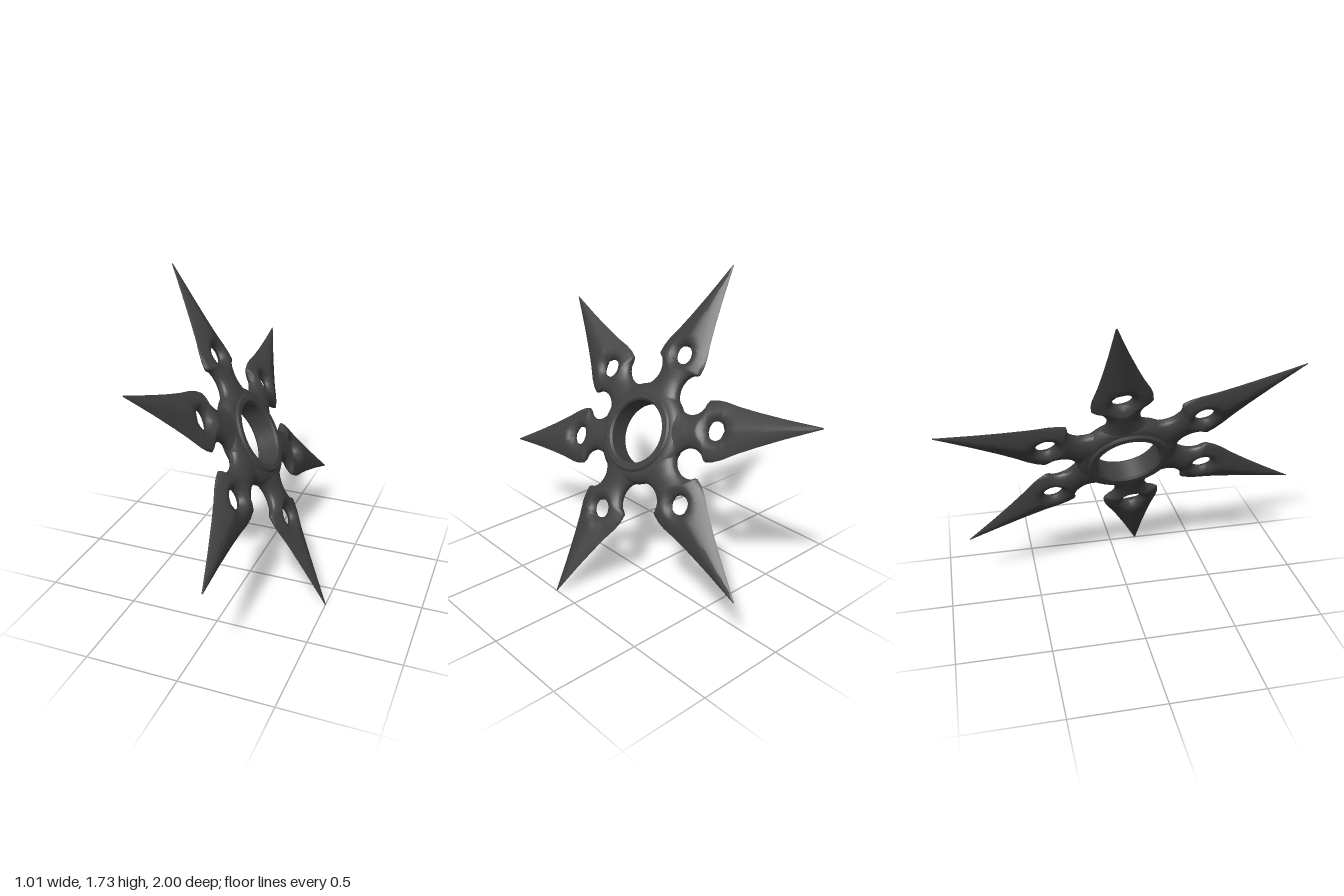
import * as THREE from 'three';
import { mergeVertices, toCreasedNormals } from 'three/addons/utils/BufferGeometryUtils.js';

const HOLE_S = 0.475, HOLE_R = 0.05, TIP = 1.05;
const { lerp, smoothstep, clamp } = THREE.MathUtils;

// piecewise linear lookup in [[s, value], ...]
function sample(table, s) {
  for (let i = 1; i < table.length; i++) {
    const [a, va] = table[i - 1], [b, vb] = table[i];
    if (s <= b) return lerp(va, vb, clamp((s - a) / (b - a), 0, 1));
  }
  return table[table.length - 1][1];
}

const bladeWidth = [[0.41, 0.145], [0.425, 0.16], [0.47, 0.16], [0.52, 0.149], [0.6, 0.12],
  [0.7, 0.09], [0.85, 0.05], [TIP, 0.003]];
const ridgeHeight = [[0.2, 0.052], [0.33, 0.045], [0.47, 0.045], [0.6, 0.042], [0.85, 0.022], [TIP, 0.003]];

// half width of an arm: round notches beside the neck, then the blade
function halfWidth(s) {
  if (s < 0.41) return 0.1875 - Math.sqrt(Math.max(0, 0.01 - (s - 0.325) ** 2));
  return sample(bladeWidth, s);
}

// half thickness: oval neck, flatter blade, dished around the hole
function halfThickness(s, t, k) {
  const blade = smoothstep(s, 0.34, 0.6);
  const section = Math.pow(Math.max(0, 1 - Math.pow(k, lerp(2, 1.4, blade))), lerp(0.5, 0.9, blade));
  const gap = Math.max(0, Math.hypot(s - HOLE_S, t) - HOLE_R);
  return sample(ridgeHeight, s) * section * Math.min(1, Math.sqrt(gap / 0.045));
}

// stations along the arm, dense around the hole
function stations() {
  const list = [];
  for (let i = 0; i < 20; i++) list.push(lerp(0.23, HOLE_S - HOLE_R, i / 20));
  for (let i = 0; i <= 16; i++) list.push(HOLE_S - HOLE_R * Math.cos(Math.PI * i / 16));
  for (let i = 1; i <= 20; i++) list.push(lerp(HOLE_S + HOLE_R, TIP, i / 20));
  return list;
}

// one arm along +x, stretched to the given length and bent out of plane at the tip
function armGeometry(length, bend) {
  const pos = [], index = [], ss = stations(), N = 12;
  for (const side of [1, -1]) for (const face of [1, -1]) {
    const base = pos.length / 3;
    ss.forEach((s, i) => {
      const w = halfWidth(s);
      const inner = Math.sqrt(Math.max(0, HOLE_R ** 2 - (s - HOLE_S) ** 2));
      const x = s <= 0.5 ? s : 0.5 + (s - 0.5) * (length - 0.5) / (TIP - 0.5);
      const lift = bend * Math.max(0, s - 0.3) / (TIP - 0.3);
      for (let j = 0; j <= N; j++) {
        const t = lerp(inner, w, Math.sin(j / N * Math.PI / 2));
        const h = j === N ? 0 : halfThickness(s, t, t / w);
        pos.push(x, side * t, lift + face * h);
        if (i === 0 || j === 0) continue;
        const d = base + i * (N + 1) + j, c = d - 1, b = d - N - 1, a = b - 1;
        if (side * face > 0) index.push(a, c, d, a, d, b);
        else index.push(a, d, c, a, b, d);
      }
    });
  }
  let g = new THREE.BufferGeometry();
  g.setAttribute('position', new THREE.Float32BufferAttribute(pos, 3));
  g.setIndex(index);
  g = mergeVertices(g, 1e-5);
  return toCreasedNormals(g, 0.9);
}

// turned ring around the local z axis from a closed profile
function turned(profile) {
  const g = new THREE.LatheGeometry(profile.map(p => new THREE.Vector2(...p)), 64);
  return toCreasedNormals(g.rotateX(Math.PI / 2), 0.7);
}

export function createModel() {
  const model = new THREE.Group();
  model.name = 'throwingStar';
  const steel = new THREE.MeshStandardMaterial({ color: 0x404040 });
  steel.name = 'dark steel';

  // tilted frame of the star
  const n = new THREE.Vector3(0.876, 0.48, -0.04).normalize();
  const u = new THREE.Vector3(0, 1, 0).cross(n).normalize();
  const v = n.clone().cross(u);
  const star = new THREE.Group();
  star.name = 'star';
  star.quaternion.setFromRotationMatrix(new THREE.Matrix4().makeBasis(u, v, n));
  star.position.y = 0.865;
  model.add(star);

  const add = (name, geometry) => {
    const mesh = new THREE.Mesh(geometry, steel);
    mesh.name = name;
    star.add(mesh);
    return mesh;
  };

  // hub body with a rounded outer edge
  add('hub', turned([[0.19, -0.054], [0.225, -0.053], [0.25, -0.045], [0.268, -0.03], [0.277, -0.012],
    [0.277, 0.012], [0.268, 0.03], [0.25, 0.045], [0.225, 0.053], [0.19, 0.054], [0.19, -0.054]]));
  // raised collar around the centre hole
  add('collar', turned([[0.172, -0.055], [0.182, -0.066], [0.21, -0.066], [0.22, -0.056], [0.22, 0.056],
    [0.21, 0.066], [0.182, 0.066], [0.172, 0.055], [0.172, -0.055]]));

  // six arms, each aimed at its tip (relative to the hub centre)
  const tips = [[-0.5, 0.865, -0.15], [-0.26, 0.535, 0.88], [0.145, -0.325, 1.0],
    [0.5, -0.865, 0.16], [0.185, -0.555, -0.87], [-0.23, 0.285, -1.0]];
  tips.forEach((p, i) => {
    const tip = new THREE.Vector3(...p);
    const x = tip.dot(u), y = tip.dot(v);
    add('arm' + (i + 1), armGeometry(Math.hypot(x, y), tip.dot(n))).rotation.z = Math.atan2(y, x);
  });
  return model;
}
